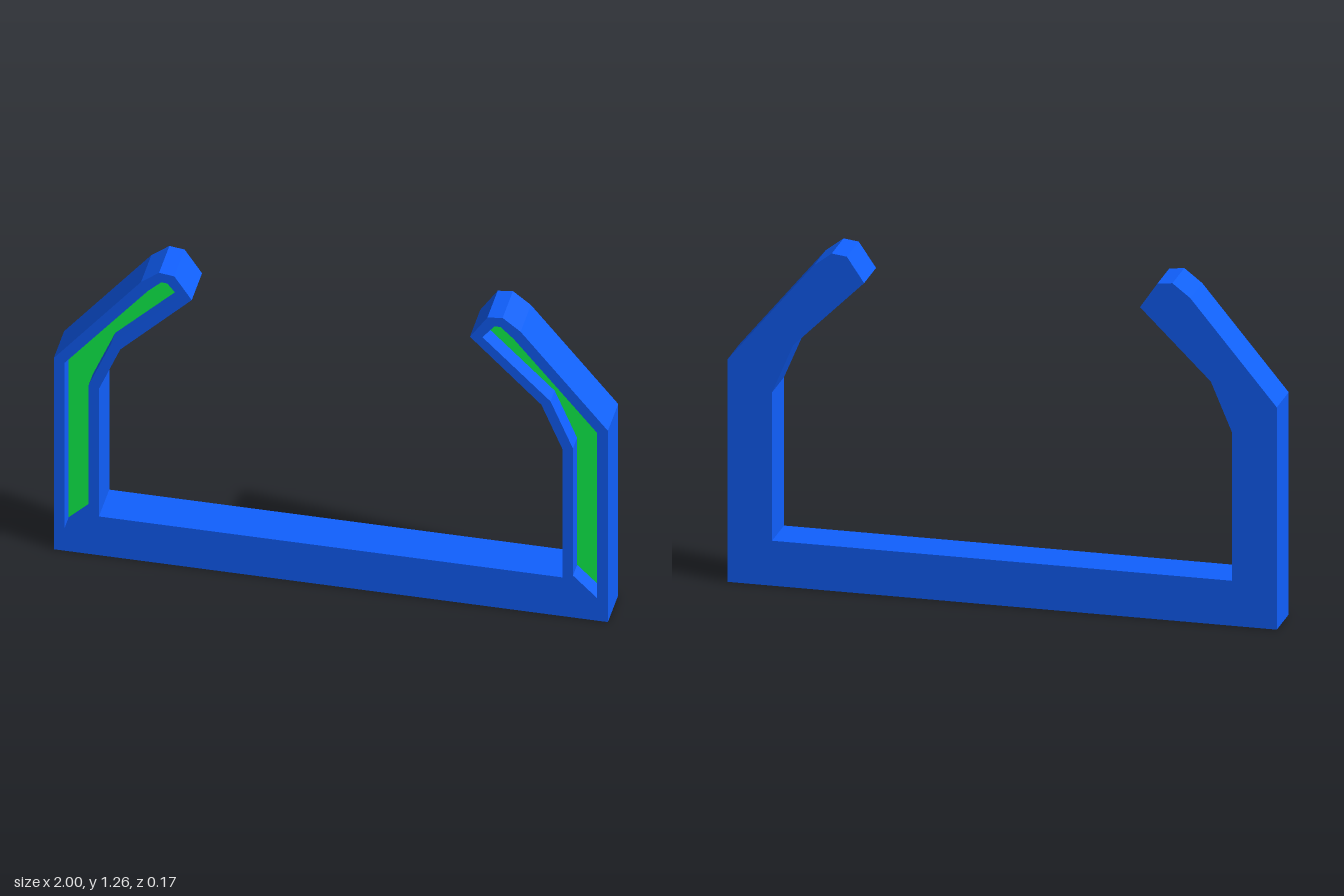
import * as THREE from 'three';

const DEPTH = 0.166;
const RECESS = 0.067;

// Left (+x) half of the frame outline, from the base up the arm and back down inside
const HALF_OUTLINE = [
  [1, 0], [1, 0.83], [0.685, 1.21], [0.62, 1.26], [0.565, 1.253],
  [0.502, 1.16], [0.76, 0.905], [0.837, 0.722], [0.837, 0.168],
];

// Sunken channel on the front of the left (+x) arm
const CHANNEL = [
  [0.961, 0.098], [0.961, 0.815], [0.66, 1.175], [0.612, 1.22], [0.59, 1.218],
  [0.547, 1.165], [0.793, 0.925], [0.874, 0.733], [0.874, 0.182],
];

const toVectors = (points) => points.map(([x, y]) => new THREE.Vector2(x, y));
const mirror = (points) => points.map(([x, y]) => [-x, y]).reverse();

export function createModel() {
  const model = new THREE.Group();
  const blue = new THREE.MeshStandardMaterial({ color: 0x1060ff });
  const green = new THREE.MeshStandardMaterial({ color: 0x10ff50 });

  const add = (name, geometry, material, z) => {
    const mesh = new THREE.Mesh(geometry, material);
    mesh.name = name;
    mesh.position.z = z;
    model.add(mesh);
    return mesh;
  };

  // Base bar and both bent arms in one piece, with the channels cut through
  const channels = { left: CHANNEL, right: mirror(CHANNEL) };
  const outline = new THREE.Shape(toVectors([...HALF_OUTLINE, ...mirror(HALF_OUTLINE)]));
  for (const points of Object.values(channels)) {
    outline.holes.push(new THREE.Path(toVectors(points)));
  }
  const frame = new THREE.ExtrudeGeometry(outline, { depth: DEPTH, bevelEnabled: false });
  add('frame', frame, blue, -DEPTH / 2);

  for (const [side, points] of Object.entries(channels)) {
    // Green channel floor, set back from the front
    const floor = new THREE.ShapeGeometry(new THREE.Shape(toVectors(points)));
    add(`${side}ChannelFloor`, floor, green, DEPTH / 2 - RECESS);

    // Flush panel closing the back of the channel, turned to face -z
    const panel = new THREE.ShapeGeometry(new THREE.Shape(toVectors(mirror(points))));
    add(`${side}BackPanel`, panel, blue, -DEPTH / 2).rotation.y = Math.PI;
  }

  return model;
}
